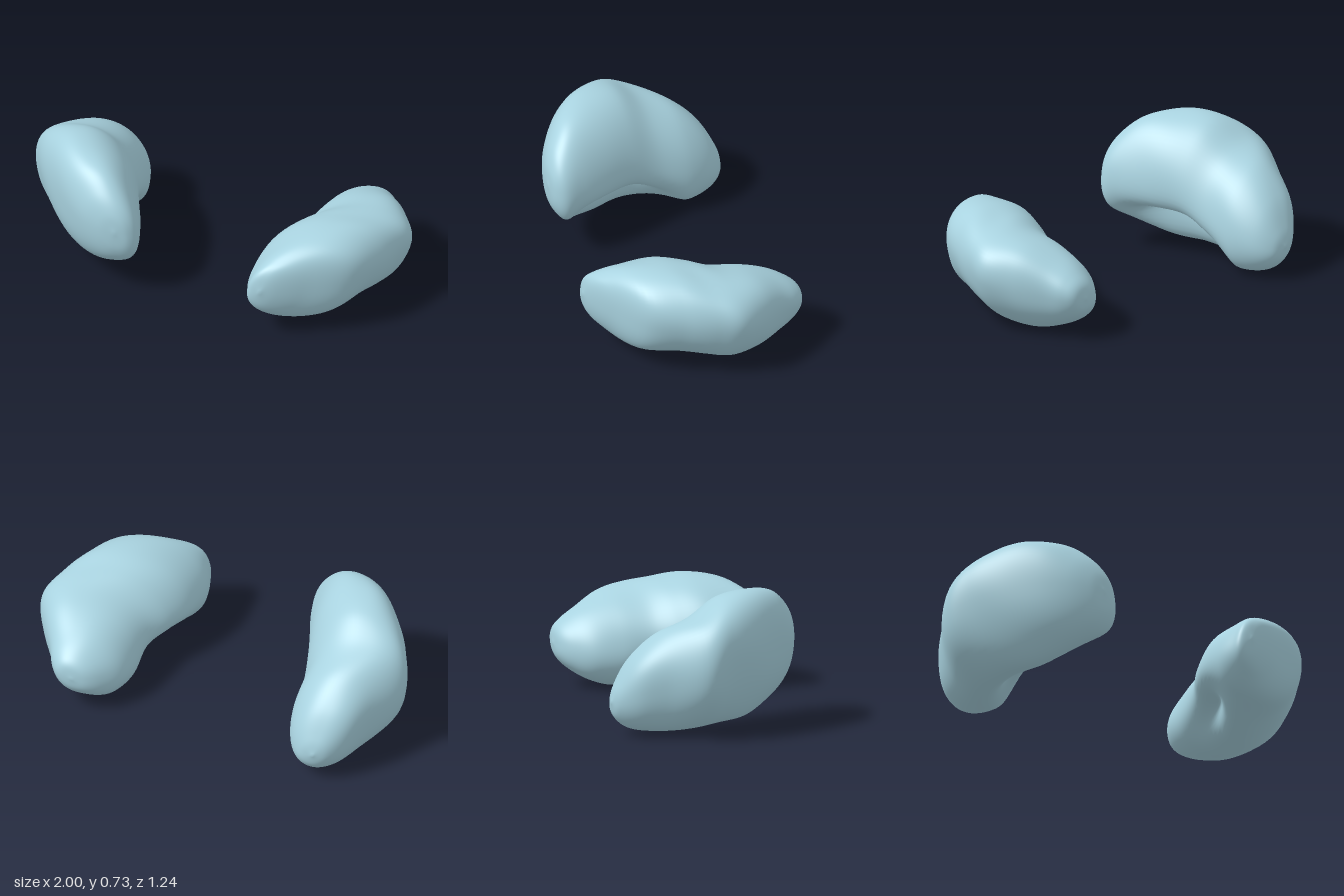
import * as THREE from 'three';

const material = new THREE.MeshStandardMaterial({ color: 0xa9d3e0 });

// Each station: [z, xMin, xMax, yMin, yMax, notch depth 0..1], running back to front.
const rightStations = [
  [-0.62, -0.63, -0.63, 0.18, 0.18, 0],
  [-0.595, -0.71, -0.55, 0.10, 0.27, 0],
  [-0.52, -0.80, -0.49, 0.04, 0.41, 0],
  [-0.39, -0.88, -0.455, 0.015, 0.53, 0],
  [-0.21, -0.995, -0.45, 0.025, 0.62, 0.32],
  [-0.06, -0.955, -0.43, 0.035, 0.71, 0.62],
  [0.11, -0.87, -0.39, 0.06, 0.73, 0.55],
  [0.26, -0.76, -0.36, 0.13, 0.695, 0.20],
  [0.36, -0.65, -0.35, 0.21, 0.61, 0],
  [0.41, -0.55, -0.39, 0.30, 0.52, 0],
  [0.425, -0.46, -0.46, 0.42, 0.42, 0],
];
const leftStations = [
  [-0.425, 0.71, 0.71, 0.23, 0.23, 0],
  [-0.41, 0.63, 0.785, 0.16, 0.30, 0],
  [-0.36, 0.56, 0.83, 0.10, 0.35, 0],
  [-0.27, 0.49, 0.87, 0.045, 0.405, 0],
  [-0.13, 0.45, 0.945, 0.005, 0.47, 0.03],
  [0.02, 0.41, 0.995, 0.01, 0.505, 0.26],
  [0.14, 0.33, 0.96, 0.02, 0.53, 0.46],
  [0.28, 0.27, 0.895, 0.045, 0.55, 0.24],
  [0.45, 0.255, 0.78, 0.07, 0.53, 0],
  [0.55, 0.265, 0.56, 0.14, 0.47, 0],
  [0.60, 0.28, 0.43, 0.21, 0.41, 0],
  [0.62, 0.34, 0.34, 0.31, 0.31, 0],
];

// Loft rounded, sheared cross-sections along z, pinched inwards around notchAngle.
function beanGeometry(stations, notchAngle, notchWidth, shear) {
  const curve = (pts) => new THREE.CatmullRomCurve3(pts, false, 'catmullrom');
  const centers = curve(stations.map(([z, x0, x1, y0, y1]) =>
    new THREE.Vector3((x0 + x1) / 2, (y0 + y1) / 2, z)));
  const sizes = curve(stations.map(([z, x0, x1, y0, y1, n]) =>
    new THREE.Vector3((x1 - x0) / 2, (y1 - y0) / 2, n)));
  const rings = 72, sides = 72, power = 2.2, widen = Math.hypot(1, shear);
  const positions = [], index = [];

  for (let i = 1; i < rings; i++) {
    const c = centers.getPoint(i / rings), s = sizes.getPoint(i / rings);
    for (let j = 0; j < sides; j++) {
      const a = (j / sides) * Math.PI * 2;
      const cos = Math.cos(a), sin = Math.sin(a);
      const full = (Math.abs(cos) ** power + Math.abs(sin) ** power) ** (-1 / power);
      const off = Math.atan2(Math.sin(a - notchAngle), Math.cos(a - notchAngle));
      const pinch = 1 - Math.max(s.z, 0) * Math.exp(-((off / notchWidth) ** 2));
      // Gentle surface lumps
      const lump = 1 + 0.01 * Math.sin(3 * a + 9 * c.z) + 0.008 * Math.sin(5 * a - 17 * c.z);
      const r = full * pinch * lump;
      positions.push(c.x + s.x * (cos + shear * sin) / widen * r, c.y + s.y * sin * r, c.z);
    }
  }
  // Walls between neighbouring rings
  for (let i = 0; i < rings - 2; i++) {
    for (let j = 0; j < sides; j++) {
      const k = (j + 1) % sides;
      const a = i * sides + j, b = i * sides + k;
      index.push(a, b, a + sides, b, b + sides, a + sides);
    }
  }
  // Closed tips
  const back = positions.length / 3, front = back + 1, last = (rings - 2) * sides;
  positions.push(...centers.getPoint(0).toArray(), ...centers.getPoint(1).toArray());
  for (let j = 0; j < sides; j++) {
    const k = (j + 1) % sides;
    index.push(back, k, j, front, last + j, last + k);
  }

  const geometry = new THREE.BufferGeometry();
  geometry.setAttribute('position', new THREE.Float32BufferAttribute(positions, 3));
  geometry.setIndex(index);
  geometry.computeVertexNormals();
  return geometry;
}

export function createModel() {
  const group = new THREE.Group();
  group.name = 'kidneys';
  const add = (name, stations, degrees, width, shear) => {
    const mesh = new THREE.Mesh(
      beanGeometry(stations, THREE.MathUtils.degToRad(degrees), width, shear), material);
    mesh.name = name;
    group.add(mesh);
  };
  // Notches face inwards and down
  add('rightKidney', rightStations, -55, 0.5, -0.22);
  add('leftKidney', leftStations, 230, 0.5, 0.24);
  return group;
}
